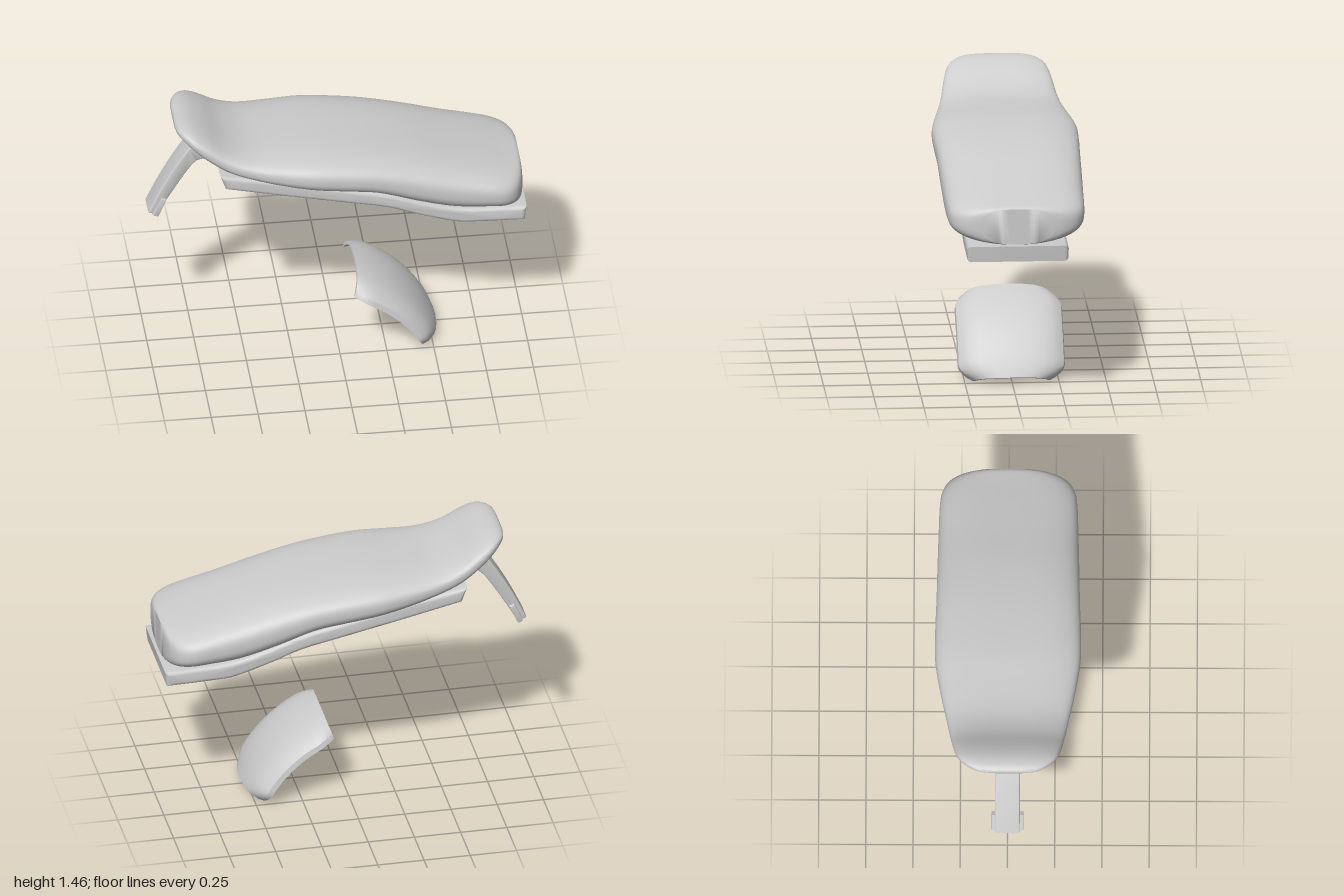
import * as THREE from 'three';
import { toCreasedNormals } from 'three/addons/utils/BufferGeometryUtils.js';

// Skin closed rings of points; both ends are capped by pairing opposite points.
function loft(rings, crease) {
  const n = rings[0].length, last = (rings.length - 1) * n, idx = [];
  for (let j = 0; j < rings.length - 1; j++) {
    for (let i = 0; i < n; i++) {
      const a = j * n + i, b = j * n + (i + 1) % n;
      idx.push(a, a + n, b, b, a + n, b + n);
    }
  }
  for (let i = 0; i < n / 2 - 1; i++) {
    const a = i, b = i + 1, c = n - 2 - i, d = n - 1 - i;
    idx.push(a, b, c, a, c, d);
    idx.push(last + a, last + c, last + b, last + a, last + d, last + c);
  }
  const g = new THREE.BufferGeometry();
  g.setAttribute('position', new THREE.Float32BufferAttribute(rings.flat(2), 3));
  g.setIndex(idx);
  return toCreasedNormals(g, crease);
}

// Side profile extruded across z, with softened edges.
function slab(points, halfWidth, bevel) {
  const shape = new THREE.Shape(points.map(([x, y]) => new THREE.Vector2(x, y)));
  const g = new THREE.ExtrudeGeometry(shape, {
    depth: 2 * (halfWidth - bevel), bevelEnabled: true, bevelThickness: bevel,
    bevelSize: bevel, bevelOffset: -bevel, bevelSegments: 4, steps: 1,
  });
  g.translate(0, 0, -(halfWidth - bevel));
  return toCreasedNormals(g, 0.6);
}

const smooth = (pts, count) =>
  new THREE.SplineCurve(pts.map(([x, y]) => new THREE.Vector2(x, y)))
    .getPoints(count).map(p => [p.x, p.y]);

// Cushion: rounded cross-sections along x
function cushionGeometry() {
  // x, top, bottom, half width
  const stations = [
    [-0.863, 1.452, 1.432, 0.10], [-0.852, 1.464, 1.418, 0.16], [-0.82, 1.471, 1.39, 0.215],
    [-0.77, 1.463, 1.345, 0.26], [-0.70, 1.43, 1.285, 0.285], [-0.60, 1.368, 1.22, 0.305],
    [-0.48, 1.329, 1.178, 0.328], [-0.32, 1.32, 1.135, 0.36], [-0.15, 1.318, 1.10, 0.385],
    [0.02, 1.304, 1.075, 0.386], [0.20, 1.28, 1.045, 0.38], [0.40, 1.24, 0.97, 0.376],
    [0.60, 1.187, 0.913, 0.371], [0.78, 1.14, 0.898, 0.365], [0.87, 1.116, 0.891, 0.352],
    [0.93, 1.101, 0.888, 0.315], [0.965, 1.092, 0.888, 0.255], [0.98, 1.083, 0.892, 0.19],
  ];
  const sides = new THREE.CatmullRomCurve3(
    stations.map(s => new THREE.Vector3(s[0], s[1], s[2])), false, 'catmullrom', 0.5);
  const widths = new THREE.CatmullRomCurve3(
    stations.map(s => new THREE.Vector3(s[0], s[3], 0)), false, 'catmullrom', 0.5);
  const rings = [], steps = (stations.length - 1) * 4, n = 64;
  const power = (v, e) => Math.sign(v) * Math.abs(v) ** e;
  for (let j = 0; j <= steps; j++) {
    const p = sides.getPoint(j / steps), w = widths.getPoint(j / steps).y;
    const mid = (p.y + p.z) / 2, half = (p.y - p.z) / 2;
    const ring = [];
    for (let i = 0; i < n; i++) {
      const a = (i + 0.5) / n * Math.PI * 2, s = Math.sin(a), e = s > 0 ? 0.66 : 0.78;
      ring.push([p.x, mid + half * power(s, e), w * power(Math.cos(a), e)]);
    }
    rings.push(ring);
  }
  return loft(rings, 0.9);
}

// Curved guard: thin crowned shell swept round an arc
function guardGeometry() {
  const outer = [[0, 0], [0.35, 0.004], [0.6, 0.012], [0.78, 0.026], [0.9, 0.046], [0.98, 0.066], [1, 0.094]];
  const mirror = half => [...half.slice(1).reverse().map(([u, d]) => [-u, d]), ...half];
  const inner = outer.map(([u, d], i) => [u * 0.94, i === outer.length - 1 ? d : d + 0.015]);
  const section = [...mirror(outer), ...mirror(inner).reverse()];
  const rings = [], steps = 32;
  for (let j = 0; j <= steps; j++) {
    const t = j / steps, a = THREE.MathUtils.degToRad(23.7 + 46 * t);
    const low = Math.max(0, 1 - t / 0.16), high = Math.max(0, (t - 0.8) / 0.2);
    const w = 0.285 - 0.08 * low ** 2 - 0.045 * high ** 2;
    rings.push(section.map(([u, d]) => {
      const r = 0.755 - d;
      return [-0.152 + r * Math.cos(a), -0.254 + r * Math.sin(a), u * w];
    }));
  }
  return loft(rings, 0.6);
}

export function createModel() {
  const group = new THREE.Group();
  const grey = new THREE.MeshStandardMaterial({ color: 0xcccccc });
  grey.name = 'light grey';
  const add = (name, geometry) => {
    const mesh = new THREE.Mesh(geometry, grey);
    mesh.name = name;
    group.add(mesh);
    return mesh;
  };

  add('cushion', cushionGeometry());

  // Base tray following the underside of the cushion
  const under = smooth([[-0.61, 1.13], [-0.3, 1.06], [0, 0.995], [0.25, 0.94], [0.42, 0.878],
    [0.6, 0.822], [0.7, 0.808], [0.985, 0.80]], 28);
  const over = smooth([[0.995, 0.885], [0.75, 0.893], [0.6, 0.91], [0.42, 0.965], [0.25, 1.025],
    [0, 1.08], [-0.3, 1.15], [-0.64, 1.215]], 28);
  add('base', slab([...under, ...over], 0.27, 0.022));

  // Rear bracket arm
  const front = smooth([[-0.955, 0.858], [-0.88, 0.99], [-0.8, 1.12], [-0.755, 1.18], [-0.715, 1.2], [-0.6, 1.215]], 20);
  const back = smooth([[-0.6, 1.24], [-0.68, 1.285], [-0.755, 1.295], [-0.80, 1.25], [-0.87, 1.14], [-0.94, 1.01], [-1.0, 0.882]], 20);
  add('bracketArm', slab([...front, ...back], 0.066, 0.008));

  // Side tabs at the foot of the arm
  for (const side of [1, -1]) {
    const tab = add(side > 0 ? 'frontTab' : 'backTab',
      slab([[-0.978, 0.873], [-0.95, 0.862], [-0.905, 0.965], [-0.932, 0.976]], 0.013, 0.004));
    tab.position.z = side * 0.072;
  }

  add('curvedGuard', guardGeometry());
  return group;
}
